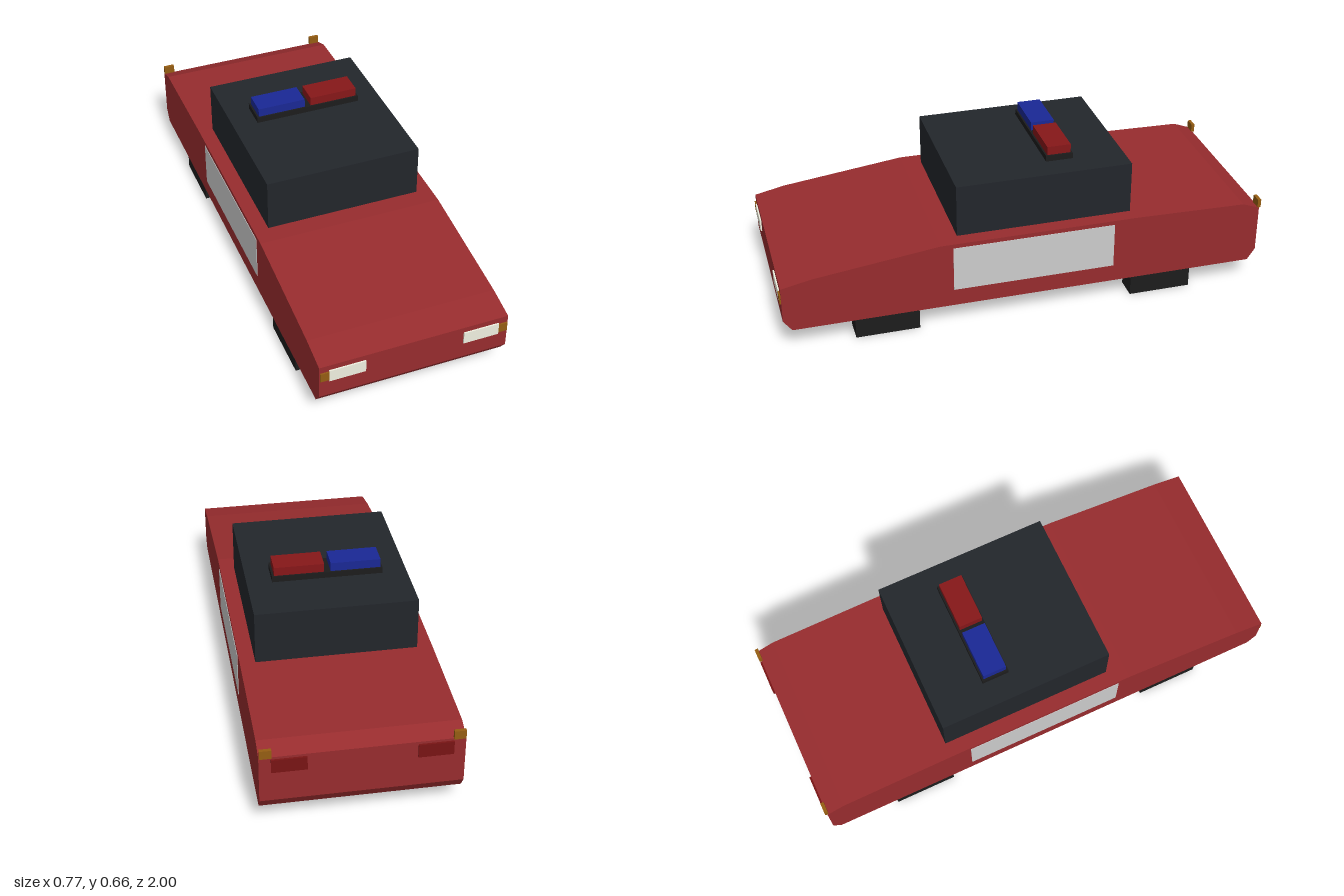
import * as THREE from 'three';

const paint = (color) => new THREE.MeshStandardMaterial({ color, flatShading: true });

export function createModel() {
  const car = new THREE.Group();
  car.name = 'patrolCar';
  const red = paint(0x972c2e), glass = paint(0x22262b), black = paint(0x1c1c1c);
  const panel = paint(0xcccccc), white = paint(0xf0f0e0), amber = paint(0x955d13);
  const tail = paint(0x781414), blueLamp = paint(0x1a2895), redLamp = paint(0x861719);

  // Box given by its extents along each axis
  function box(name, material, [x0, x1], [y0, y1], [z0, z1]) {
    const mesh = new THREE.Mesh(new THREE.BoxGeometry(x1 - x0, y1 - y0, z1 - z0), material);
    mesh.position.set((x0 + x1) / 2, (y0 + y1) / 2, (z0 + z1) / 2);
    mesh.name = name;
    car.add(mesh);
  }
  // The same box on both sides of the car
  function pair(name, material, [x0, x1], y, z) {
    box(name + 'Left', material, [x0, x1], y, z);
    box(name + 'Right', material, [-x1, -x0], y, z);
  }

  // Wedge body: side profile (z, y) extruded across the width
  const profile = [
    [0.96, 0.092], [0.994, 0.138], [0.994, 0.286], [0.87, 0.312], [0.36, 0.375],
    [-0.45, 0.375], [-0.92, 0.365], [-0.992, 0.338], [-0.992, 0.14], [-0.96, 0.092],
  ];
  const shape = new THREE.Shape(profile.map(([z, y]) => new THREE.Vector2(-z, y)));
  const bodyGeo = new THREE.ExtrudeGeometry(shape, { depth: 0.766, bevelEnabled: false });
  bodyGeo.translate(0, 0, -0.383);
  bodyGeo.rotateY(Math.PI / 2);
  const body = new THREE.Mesh(bodyGeo, red);
  body.name = 'body';
  car.add(body);

  // Cabin and roof light bar
  box('cabin', glass, [-0.322, 0.322], [0.37, 0.593], [-0.445, 0.28]);
  box('lightBarBase', black, [-0.222, 0.222], [0.598, 0.622], [-0.228, -0.116]);
  box('redBeacon', redLamp, [0.013, 0.214], [0.622, 0.658], [-0.221, -0.123]);
  box('blueBeacon', blueLamp, [-0.214, -0.013], [0.622, 0.658], [-0.221, -0.123]);

  // Block wheels
  pair('frontWheel', black, [0.277, 0.37], [0, 0.1], [0.45, 0.71]);
  pair('rearWheel', black, [0.277, 0.37], [0, 0.1], [-0.705, -0.445]);

  // Door panels
  pair('doorPanel', panel, [0.378, 0.385], [0.165, 0.357], [-0.36, 0.31]);

  // Lamps
  pair('headlight', white, [0.199, 0.344], [0.211, 0.263], [0.985, 1]);
  pair('frontIndicator', amber, [0.344, 0.38], [0.218, 0.257], [0.985, 1]);
  pair('tailLight', tail, [0.205, 0.338], [0.272, 0.328], [-1, -0.985]);
  pair('rearIndicator', amber, [0.336, 0.381], [0.338, 0.374], [-1, -0.986]);

  return car;
}
